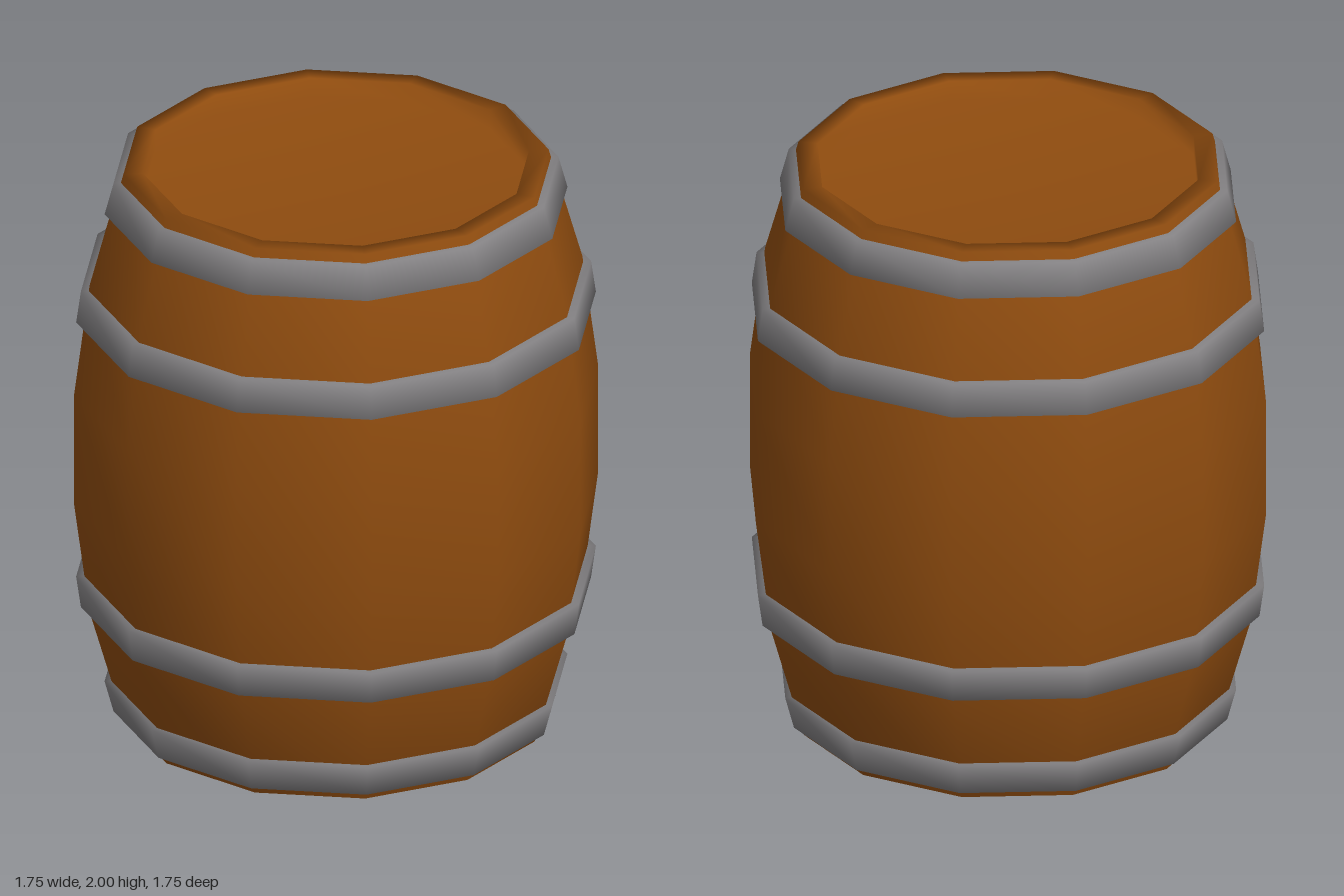
import * as THREE from 'three';

const SIDES = 12;

// Revolve a [radius, height] profile into a smooth twelve-sided part
function turned(name, profile, material) {
  const points = profile.map(([r, y]) => new THREE.Vector2(r, y));
  const mesh = new THREE.Mesh(new THREE.LatheGeometry(points, SIDES), material);
  mesh.name = name;
  return mesh;
}

export function createModel() {
  const wood = new THREE.MeshStandardMaterial({ color: 0x8f4c0f });
  wood.name = 'wood';
  const iron = new THREE.MeshStandardMaterial({ color: 0x848284 });
  iron.name = 'iron';

  const barrel = new THREE.Group();
  barrel.name = 'barrel';

  // Bulging body with a rim and a recessed head at each end
  const lowerHalf = [[0, 0.07], [0.645, 0.07], [0.645, 0], [0.71, 0], [0.823, 0.4], [0.875, 0.8]];
  const upperHalf = lowerHalf.map(([r, y]) => [r, 2 - y]).reverse();
  barrel.add(turned('body', [...lowerHalf, ...upperHalf], wood));

  // Hoops: height and radius of the edge near the barrel's end, then of the inner edge
  const hoops = [
    ['endHoop', 0.03, 0.743, 0.142, 0.773],
    ['middleHoop', 0.42, 0.852, 0.533, 0.868],
  ];
  for (const [name, y0, r0, y1, r1] of hoops) {
    const inset = 0.06;
    const profile = [[r0 - inset, y0], [r0, y0], [r1, y1], [r1 - inset, y1]];
    const flipped = profile.map(([r, y]) => [r, 2 - y]).reverse();
    barrel.add(turned(name + 'Lower', profile, iron));
    barrel.add(turned(name + 'Upper', flipped, iron));
  }
  return barrel;
}
